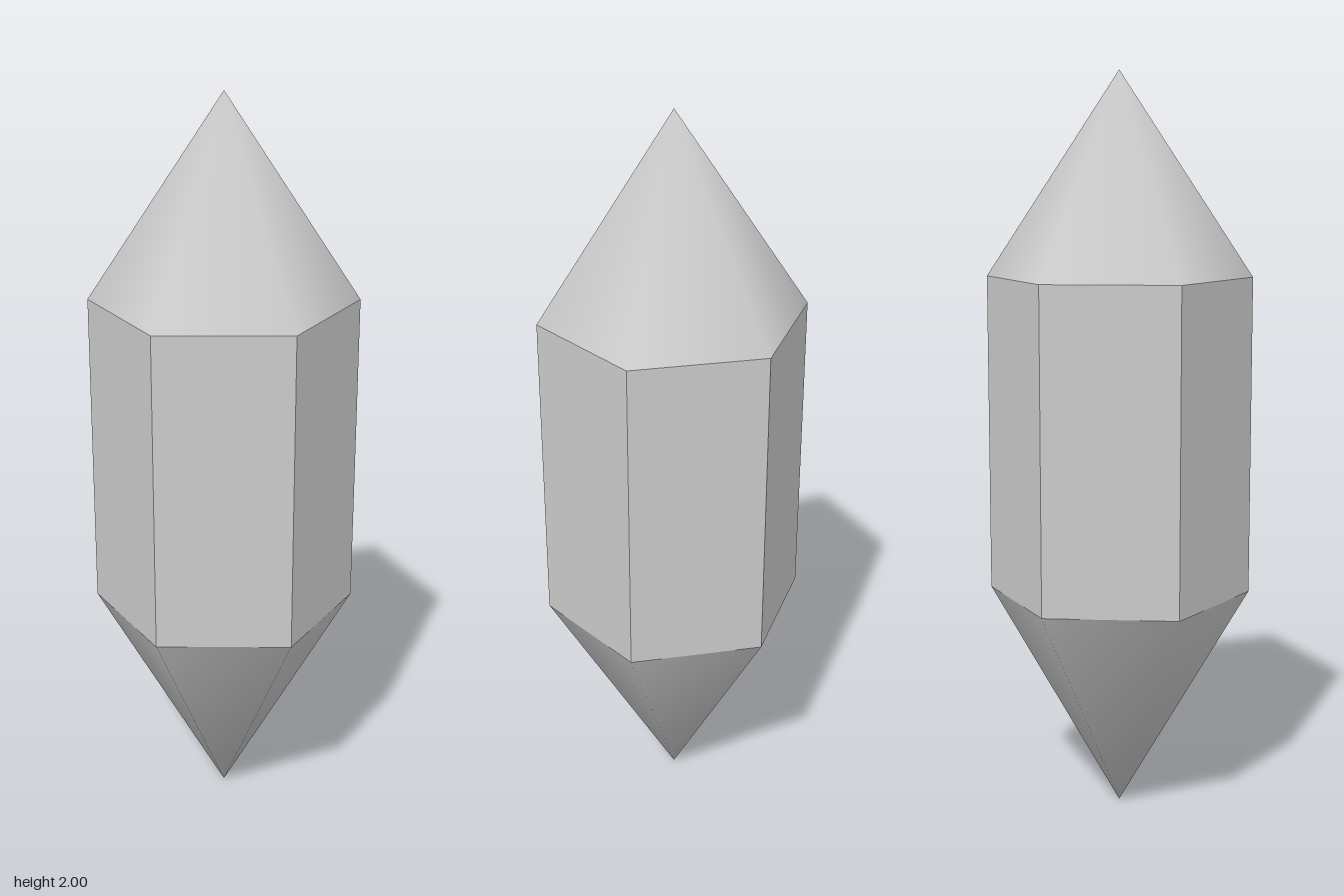
import * as THREE from 'three';
import { mergeVertices } from 'three/addons/utils/BufferGeometryUtils.js';

const RADIUS = 0.354, SIDES = 6, LOW = 0.61, HIGH = 1.465, TOP = 2;

export function createModel() {
  const group = new THREE.Group();
  group.name = 'crystal';
  const smooth = new THREE.MeshStandardMaterial({ color: 0xcccccc });
  const flat = new THREE.MeshStandardMaterial({ color: 0xcccccc, flatShading: true });

  const add = (name, geometry, material, y) => {
    const mesh = new THREE.Mesh(geometry, material);
    mesh.name = name;
    mesh.position.y = y;
    group.add(mesh);
  };

  // Six-sided point with one shared, smoothly shaded apex
  const point = (height) => {
    const cone = new THREE.ConeGeometry(RADIUS, height, SIDES, 1, true, Math.PI / 2);
    cone.deleteAttribute('normal');
    cone.deleteAttribute('uv');
    const welded = mergeVertices(cone, 1e-4);
    welded.computeVertexNormals();
    return welded;
  };

  // Flat-sided hexagonal shaft, corners on the x axis
  add('shaft', new THREE.CylinderGeometry(RADIUS, RADIUS, HIGH - LOW, SIDES, 1, true, Math.PI / 2), flat, (HIGH + LOW) / 2);

  // Upper and lower points
  add('upperPoint', point(TOP - HIGH), smooth, (TOP + HIGH) / 2);
  add('lowerPoint', point(LOW).rotateX(Math.PI), smooth, LOW / 2);

  return group;
}
